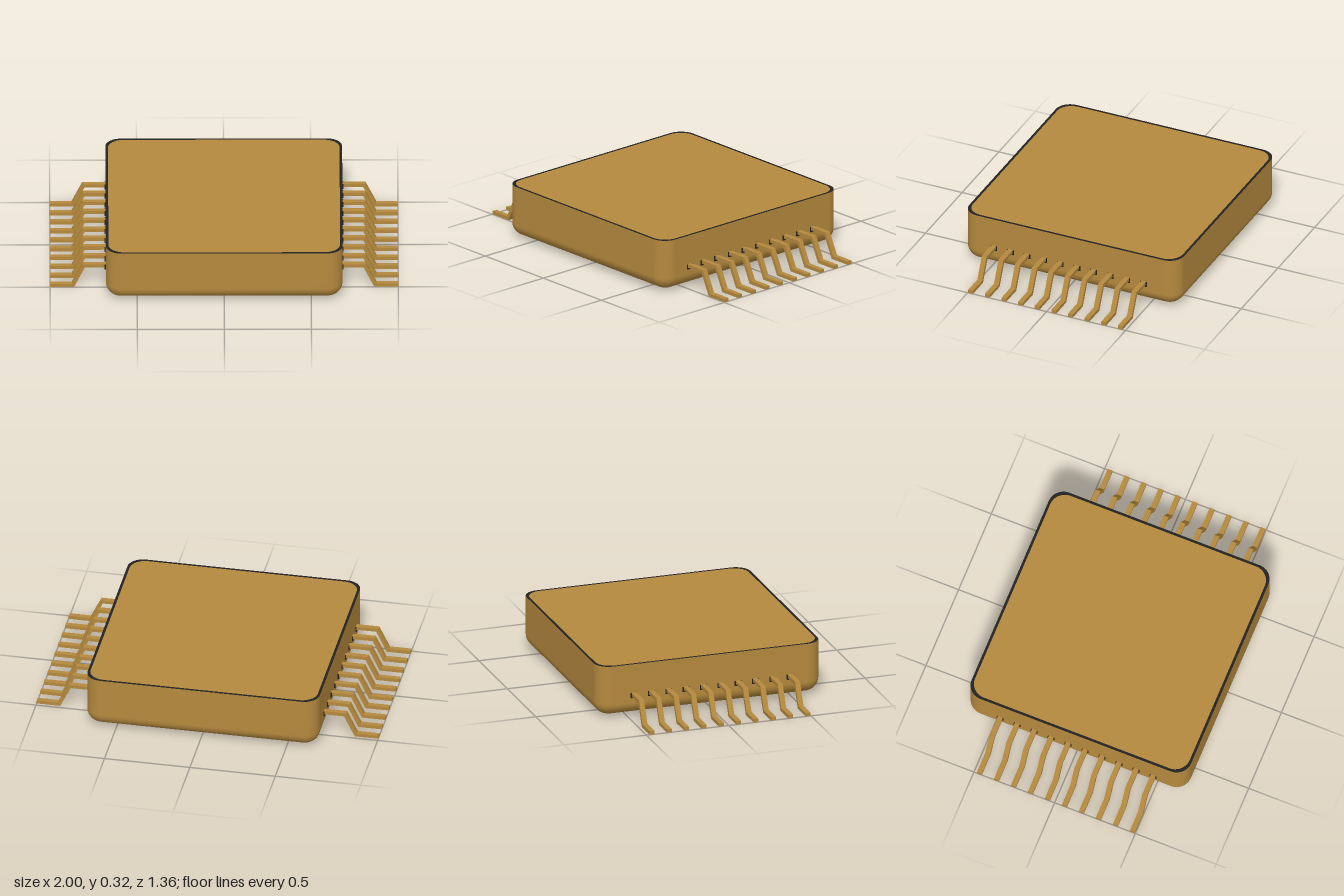
import * as THREE from 'three';

const gold = new THREE.MeshStandardMaterial({ color: 0xb5893d });
gold.name = 'gold';
const dark = new THREE.MeshStandardMaterial({ color: 0x222222 });
dark.name = 'dark seal';

const HALF = 0.68, CORNER = 0.09, FILLET = 0.075, TOP = 0.32, BOTTOM = 0.013, SEG = 10;

// Outline of a rounded square, counter-clockwise in its own plane
function outline(half, radius) {
  const pts = [];
  for (let c = 0; c < 4; c++) {
    const mid = Math.PI / 4 + c * Math.PI / 2;
    const cx = Math.sign(Math.cos(mid)) * (half - radius);
    const cy = Math.sign(Math.sin(mid)) * (half - radius);
    for (let i = 0; i <= SEG; i++) {
      const a = (c + i / SEG) * Math.PI / 2;
      pts.push(new THREE.Vector2(cx + radius * Math.cos(a), cy + radius * Math.sin(a)));
    }
  }
  return pts;
}

// Open tub: straight walls, filleted lower edge, flat underside
function tubGeometry() {
  const rings = [[0, TOP]];
  for (let i = 0; i <= 8; i++) {
    const a = (i / 8) * Math.PI / 2;
    rings.push([FILLET * (1 - Math.cos(a)), BOTTOM + FILLET * (1 - Math.sin(a))]);
  }
  const pos = [], idx = [], n = 4 * (SEG + 1);
  for (const [inset, y] of rings) {
    for (const p of outline(HALF - inset, CORNER - inset)) pos.push(p.x, y, -p.y);
  }
  for (let r = 0; r < rings.length - 1; r++) {
    for (let i = 0; i < n; i++) {
      const a = r * n + i, b = r * n + (i + 1) % n;
      idx.push(a, a + n, b, b, a + n, b + n);
    }
  }
  const last = (rings.length - 1) * n, centre = rings.length * n;
  pos.push(0, BOTTOM, 0);
  for (let i = 0; i < n; i++) idx.push(centre, last + (i + 1) % n, last + i);
  const g = new THREE.BufferGeometry();
  g.setAttribute('position', new THREE.Float32BufferAttribute(pos, 3));
  g.setIndex(idx);
  g.computeVertexNormals();
  return g;
}

function add(parent, name, geometry, material) {
  const mesh = new THREE.Mesh(geometry, material);
  mesh.name = name;
  parent.add(mesh);
  return mesh;
}

export function createModel() {
  const model = new THREE.Group();
  model.name = 'flatPackage';

  add(model, 'housing', tubGeometry(), gold);

  // Dark seal ring around the lid
  const ring = new THREE.Shape(outline(HALF, CORNER));
  const lidOutline = outline(HALF - 0.015, CORNER);
  ring.holes.push(new THREE.Path(lidOutline));
  const seal = add(model, 'lidSeal', new THREE.ShapeGeometry(ring), dark);
  seal.rotation.x = -Math.PI / 2;
  seal.position.y = TOP;

  const lid = add(model, 'lid', new THREE.ShapeGeometry(new THREE.Shape(lidOutline)), gold);
  lid.rotation.x = -Math.PI / 2;
  lid.position.y = TOP;

  // Gull-wing lead profile, extruded to the lead width
  const profile = new THREE.Shape([
    [0.67, 0.127], [0.8, 0.127], [0.862, 0], [1, 0],
    [1, 0.02], [0.875, 0.02], [0.813, 0.147], [0.67, 0.147],
  ].map(([x, y]) => new THREE.Vector2(x, y)));
  const leadGeometry = new THREE.ExtrudeGeometry(profile, { depth: 0.03, bevelEnabled: false });
  leadGeometry.translate(0, 0, -0.015);
  const collarGeometry = new THREE.BoxGeometry(0.012, 0.03, 0.04);
  collarGeometry.translate(HALF, 0.131, 0);

  // Ten leads with dark collars on each side
  for (const side of [1, -1]) {
    for (let i = 0; i < 10; i++) {
      const lead = new THREE.Group();
      lead.name = side > 0 ? 'leftLead' : 'rightLead';
      add(lead, 'pin', leadGeometry, gold);
      add(lead, 'collar', collarGeometry, dark);
      lead.position.z = 0.008 + (i - 4.5) * 0.1053;
      if (side < 0) lead.rotation.y = Math.PI;
      model.add(lead);
    }
  }
  return model;
}
